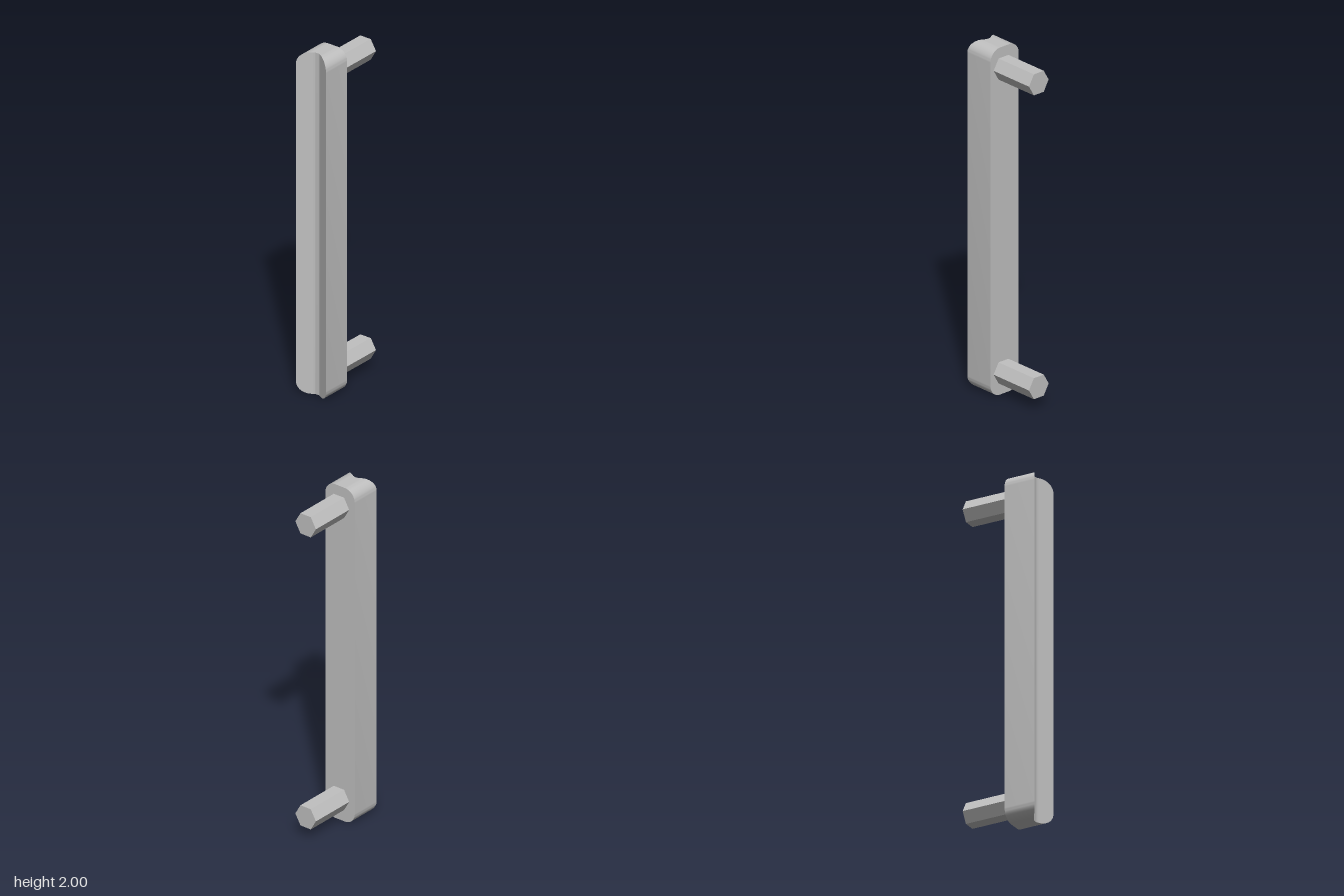
import * as THREE from 'three';
import { toCreasedNormals } from 'three/addons/utils/BufferGeometryUtils.js';

const HALF = 0.1, HEIGHT = 2, RADIUS = 0.068, BACK = 0.046;
const GROOVE = 0.025, SLOPE = 0.62, FLOOR = 0.173;

// Depth of the V-grooved face, rounded at the bottom of the groove
function frontZ(x) {
  const a = Math.abs(x);
  return a < GROOVE
    ? FLOOR + (SLOPE * a * a) / (2 * GROOVE)
    : FLOOR + SLOPE * (a - GROOVE / 2);
}

// Height lost to the rounded corners at a given x
function cornerDrop(x) {
  const d = Math.max(0, Math.abs(x) - (HALF - RADIUS));
  return RADIUS - Math.sqrt(Math.max(0, RADIUS * RADIUS - d * d));
}

// Grip bar: rectangular cross-sections joined from one side to the other
function gripGeometry() {
  const right = [];
  for (let i = 0; i <= 5; i++) right.push((GROOVE * i) / 5);
  for (let i = 0; i <= 12; i++) {
    right.push(HALF - RADIUS + RADIUS * Math.sin((i / 12) * Math.PI / 2));
  }
  const xs = [...right.slice(1).reverse().map((x) => -x), ...right];

  const sections = xs.map((x) => {
    const z = frontZ(x), low = cornerDrop(x), high = HEIGHT - low;
    return [[x, low, z], [x, high, z], [x, high, BACK], [x, low, BACK]];
  });

  const positions = [];
  const quad = (a, b, c, d) => positions.push(...a, ...b, ...c, ...a, ...c, ...d);
  for (let i = 0; i < sections.length - 1; i++) {
    const p = sections[i], q = sections[i + 1];
    for (let k = 0; k < 4; k++) {
      const n = (k + 1) % 4;
      quad(p[k], q[k], q[n], p[n]);
    }
  }
  // Flat flanks
  const l = sections[0], r = sections[sections.length - 1];
  quad(l[0], l[1], l[2], l[3]);
  quad(r[3], r[2], r[1], r[0]);

  const geometry = new THREE.BufferGeometry();
  geometry.setAttribute('position', new THREE.Float32BufferAttribute(positions, 3));
  return toCreasedNormals(geometry, 0.5);
}

export function createModel() {
  const group = new THREE.Group();
  group.name = 'pullHandle';
  const metal = new THREE.MeshStandardMaterial({ color: 0xc0c0c0 });
  metal.name = 'grey metal';

  const grip = new THREE.Mesh(gripGeometry(), metal);
  grip.name = 'grip';
  group.add(grip);

  // Hexagonal mounting posts with flats at top and bottom
  const length = BACK + 0.23;
  const post = new THREE.CylinderGeometry(0.07, 0.07, length, 6);
  post.rotateY(Math.PI / 2);
  post.rotateX(Math.PI / 2);
  const postGeometry = toCreasedNormals(post, 0.5);
  for (const [name, y] of [['lowerPost', 0.128], ['upperPost', 1.879]]) {
    const mesh = new THREE.Mesh(postGeometry, metal);
    mesh.name = name;
    mesh.position.set(0.008, y, BACK - length / 2);
    group.add(mesh);
  }
  return group;
}
